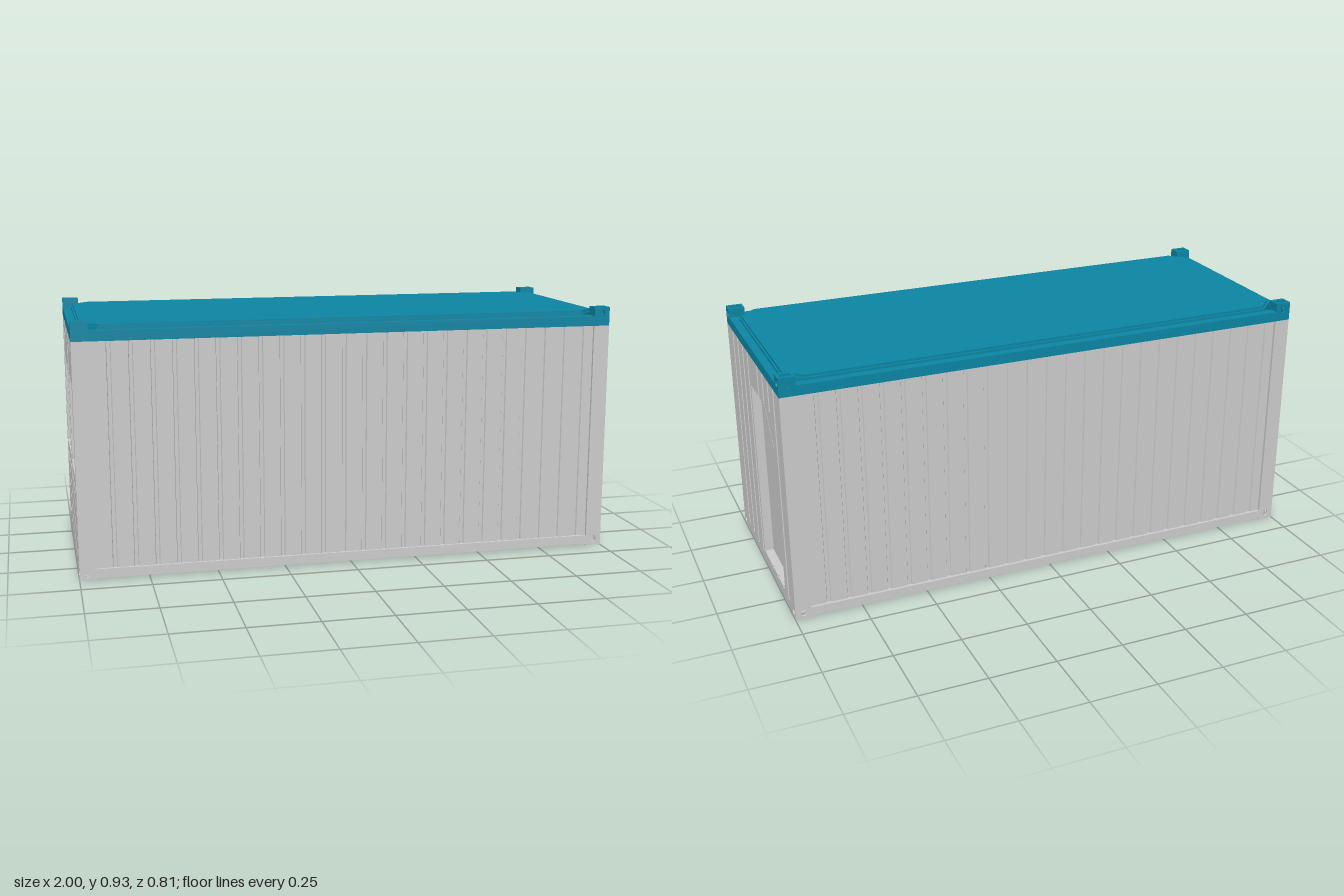
import * as THREE from 'three';

const grey = new THREE.MeshStandardMaterial({ color: 0xcccccc });
const blue = new THREE.MeshStandardMaterial({ color: 0x0b85a3 });
const X = 1, Z = 0.405;            // half length and half width
const PX = 0.06, PZ = 0.05;        // corner post size
const RAIL_Y = 0.86;               // underside of the roof frame

function add(parent, name, geometry, material, x = 0, y = 0, z = 0) {
  const mesh = new THREE.Mesh(geometry, material);
  mesh.name = name;
  mesh.position.set(x, y, z);
  parent.add(mesh);
  return mesh;
}

// Box given by its limits
function block(parent, name, material, x0, x1, y0, y1, z0, z1) {
  return add(parent, name, new THREE.BoxGeometry(x1 - x0, y1 - y0, z1 - z0), material,
    (x0 + x1) / 2, (y0 + y1) / 2, (z0 + z1) / 2);
}

// Flat outline (x, -z) raised upward by h
function raise(points, h) {
  const shape = new THREE.Shape(points.map(([x, y]) => new THREE.Vector2(x, y)));
  return new THREE.ExtrudeGeometry(shape, { depth: h, bevelEnabled: false }).rotateX(-Math.PI / 2);
}

// Sheet wall with vertical grooves; its outer face lies on local z = 0
function groovedWall(parent, name, a, b, y0, y1, grooves, t = 0.03) {
  const pts = [[a, 0]];
  for (const c of grooves) {
    if (c - 0.01 <= a || c + 0.01 >= b) continue;
    pts.push([c - 0.0085, 0], [c - 0.006, 0.006], [c + 0.006, 0.006], [c + 0.0085, 0]);
  }
  pts.push([b, 0], [b, t], [a, t]);
  return add(parent, name, raise(pts, y1 - y0), grey, 0, y0, 0);
}

// Plate centred on the origin with an optional hole
function plate(w, h, hole) {
  const s = new THREE.Shape();
  s.moveTo(-w / 2, -h / 2).lineTo(w / 2, -h / 2).lineTo(w / 2, h / 2).lineTo(-w / 2, h / 2).closePath();
  if (hole) {
    const p = new THREE.Path();
    if (hole.slot) {
      const [a, b] = hole.slot;
      p.moveTo(-a, -b).lineTo(-a, b).lineTo(a, b).lineTo(a, -b).closePath();
    } else p.absellipse(0, hole.y, 0.011, 0.014, 0, Math.PI * 2, true);
    s.holes.push(p);
  }
  const g = new THREE.ExtrudeGeometry(s, { depth: 0.008, bevelEnabled: false, curveSegments: 16 });
  return g.translate(0, 0, -0.004);
}

// Hollow corner casting with lifting holes in its outer faces
function casting(parent, name, material, sx, sz, y0, y1, holeY, top) {
  const g = new THREE.Group();
  g.name = name;
  g.position.set(sx * (X - PX / 2), (y0 + y1) / 2, sz * (Z - PZ / 2));
  const h = y1 - y0, hole = { y: holeY - (y0 + y1) / 2 }, slot = { slot: [0.02, 0.012] };
  for (const s of [-1, 1]) {
    add(g, 'castingSide', plate(PX, h, s === sz ? hole : null), material, 0, 0, s * (PZ / 2 - 0.004));
    add(g, 'castingEnd', plate(PZ, h, s === sx ? hole : null).rotateY(Math.PI / 2), material, s * (PX / 2 - 0.004), 0, 0);
    const open = (s > 0) === top;
    add(g, 'castingCap', plate(PX, PZ, open ? slot : null).rotateX(Math.PI / 2), material, 0, s * (h / 2 - 0.004), 0);
  }
  parent.add(g);
}

// Group whose local +z looks out of one side of the container
function side(parent, name, angle, dist) {
  const g = new THREE.Group();
  g.name = name;
  g.rotation.y = angle;
  g.position.set(Math.sin(angle) * dist, 0, Math.cos(angle) * dist);
  parent.add(g);
  return g;
}

function doorEnd(root) {
  const g = side(root, 'doorEndWall', Math.PI / 2, X);
  const e = Z - PZ, d0 = -0.045, d1 = 0.265, top = 0.74;
  const grooves = [-0.307, -0.228, -0.148, -0.07, 0.082, 0.158, 0.238, 0.318];
  block(g, 'endSill', grey, -e, e, 0.006, 0.04, -0.05, 0);
  groovedWall(g, 'wallBesideDoor', -e, d0, 0.04, RAIL_Y, grooves, 0.05);
  groovedWall(g, 'wallBesideDoor', d1, e, 0.04, RAIL_Y, grooves, 0.05);
  groovedWall(g, 'wallAboveDoor', d0, d1, top, RAIL_Y, grooves, 0.05);
  groovedWall(g, 'doorThreshold', d0, d1, 0.04, 0.05, grooves, 0.05);
  // Recessed leaf with its frame head, opening lines and handle
  const face = -0.033;
  block(g, 'doorLeaf', grey, d0, d1, 0.05, top, -0.05, face);
  block(g, 'doorFrameHead', grey, d0, d1, top - 0.005, top, -0.05, face + 0.006);
  for (const y of [0.05, top - 0.005]) {
    const dx = 0.25 - d0, dy = 0.37 - y;
    const line = add(g, 'doorOpeningLine', new THREE.BoxGeometry(Math.hypot(dx, dy), 0.0015, 0.001), grey,
      (0.25 + d0) / 2, (0.37 + y) / 2, face);
    line.rotation.z = Math.atan2(dy, dx);
  }
  block(g, 'doorHandle', grey, 0.22, 0.257, 0.368, 0.376, face + 0.018, face + 0.026);
  block(g, 'handleStem', grey, 0.248, 0.256, 0.368, 0.376, face, face + 0.02);
  add(g, 'doorLock', new THREE.CylinderGeometry(0.004, 0.004, 0.008, 12).rotateX(Math.PI / 2), grey, 0.252, 0.343, face + 0.003);
}

function windowEnd(root) {
  const g = side(root, 'windowEndWall', -Math.PI / 2, X);
  const e = Z - PZ, f = 0.163, o = 0.135, c = 0.19;
  const f0 = 0.31, f1 = 0.8, o0 = 0.355, o1 = 0.695;
  const grooves = Array.from({ length: 9 }, (_, i) => (i - 4) * 0.078);
  block(g, 'endSill', grey, -e, e, 0.006, 0.04, -0.05, 0);
  groovedWall(g, 'wallBelowWindows', -e, e, 0.04, f0, grooves, 0.05);
  groovedWall(g, 'wallAboveWindows', -e, e, f1, RAIL_Y, grooves, 0.05);
  groovedWall(g, 'wallBetweenWindows', f - c, c - f, f0, f1, grooves, 0.05);
  for (const s of [-1, 1]) {
    const m = s * c;
    // Plain surround with the shutter box above the opening
    block(g, 'windowSurroundBottom', grey, m - f, m + f, f0, o0, -0.05, -0.002);
    block(g, 'shutterBox', grey, m - f, m + f, o1, f1, -0.05, -0.002);
    for (const k of [-1, 1]) {
      const a = m + k * o, b = m + k * f;
      block(g, 'windowJamb', grey, Math.min(a, b), Math.max(a, b), o0, o1, -0.05, -0.002);
    }
    block(g, 'windowSill', grey, m - o, m + o, o0, o0 + 0.012, -0.05, 0);
    // One window has its shutter closed, the other shows the glass
    block(g, s > 0 ? 'windowGlass' : 'closedShutter', s > 0 ? blue : grey, m - o, m + o, o0, o1, -0.05, -0.033);
    block(g, 'wallEdge', grey, s > 0 ? m + f : -e, s > 0 ? e : m - f, f0, f1, -0.05, 0);
  }
}

export function createModel() {
  const root = new THREE.Group();
  root.name = 'containerCabin';

  // Corner posts and castings
  for (const sx of [-1, 1]) for (const sz of [-1, 1]) {
    add(root, 'cornerPost', new THREE.BoxGeometry(PX, RAIL_Y - 0.05, PZ), grey,
      sx * (X - PX / 2), (RAIL_Y + 0.05) / 2, sz * (Z - PZ / 2));
    casting(root, 'lowerCasting', grey, sx, sz, 0, 0.05, 0.025, false);
    casting(root, 'upperCasting', blue, sx, sz, RAIL_Y, 0.93, 0.905, true);
  }

  // Long walls, set back a little inside the frame
  const grooves = Array.from({ length: 24 }, (_, i) => -0.872 + i * 0.0768);
  for (const [name, angle] of [['frontWall', 0], ['backWall', Math.PI]]) {
    const g = side(root, name, angle, Z);
    block(g, 'bottomRail', grey, PX - X, X - PX, 0.006, 0.04, -0.05, 0);
    block(g, 'roofRail', blue, PX - X, X - PX, RAIL_Y, 0.897, -0.035, 0);
    groovedWall(g, 'groovedPanel', PX - X, X - PX, 0.04, RAIL_Y, grooves).position.z = -0.01;
  }

  // End walls and their roof rails
  doorEnd(root);
  windowEnd(root);
  for (const s of [-1, 1]) {
    const g = side(root, 'endRoofRail', s * Math.PI / 2, X);
    block(g, 'roofRail', blue, PZ - Z, Z - PZ, RAIL_Y, 0.897, -0.035, 0);
  }

  // Floor, roof base and the chamfered roof sheet
  block(root, 'floor', grey, -0.95, 0.95, 0.007, 0.035, -0.36, 0.36);
  block(root, 'roofBase', blue, PX - X, X - PX, RAIL_Y + 0.001, 0.89, PZ - Z, Z - PZ);
  const octagon = (x, z, c) => [[-x, c - z], [c - x, -z], [x - c, -z], [x, c - z],
    [x, z - c], [x - c, z], [c - x, z], [-x, z - c]];
  add(root, 'roofSheetEdge', raise(octagon(0.97, 0.373, 0.062), 0.02), blue, 0, 0.886, 0);
  add(root, 'roofSheet', raise(octagon(0.963, 0.366, 0.06), 0.012), blue, 0, 0.903, 0);
  return root;
}
